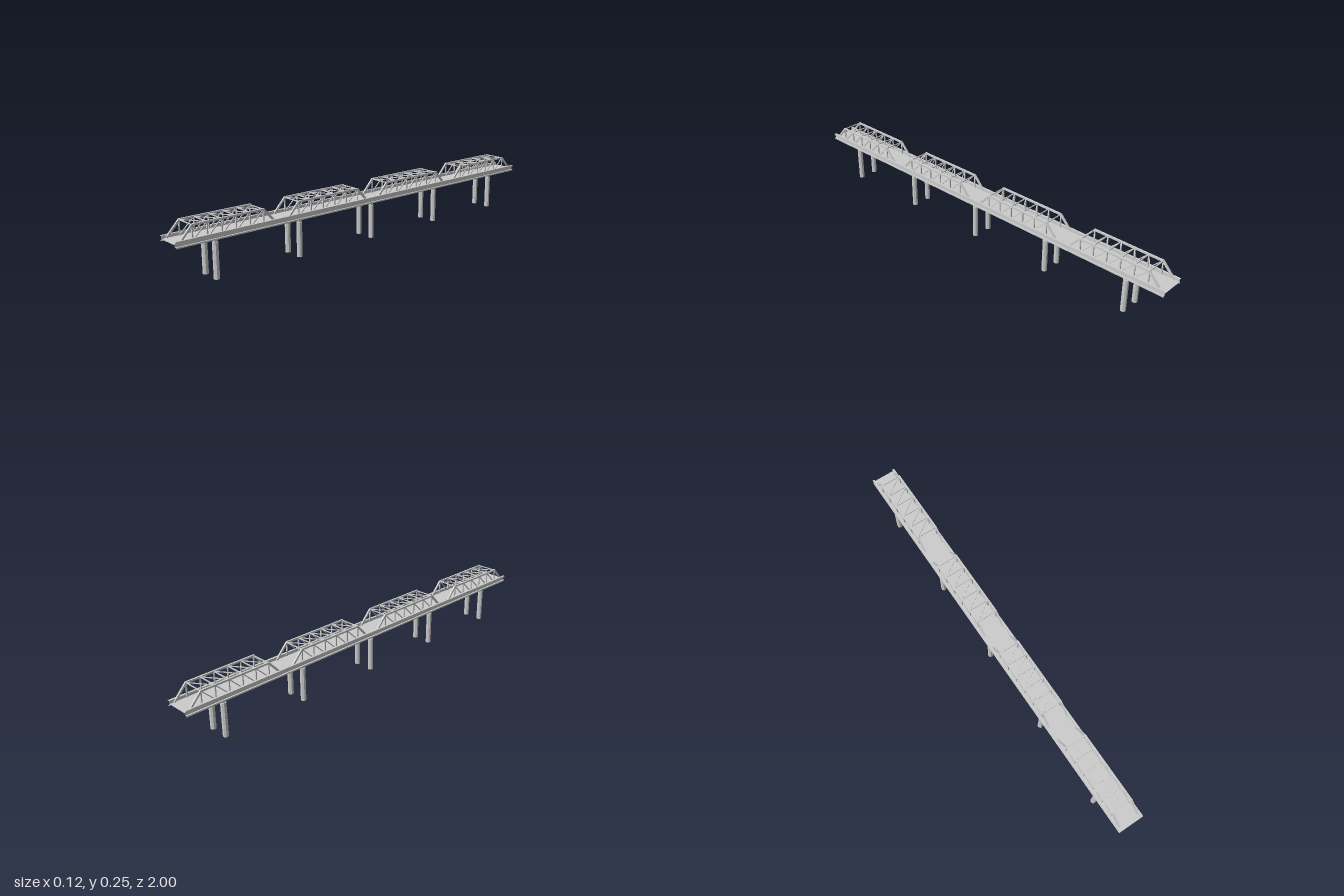
import * as THREE from 'three';

const material = new THREE.MeshStandardMaterial({ color: 0xcccccc, flatShading: true });

const FLOOR = 0.18, CHORD = 0.243, SIDE = 0.048;

function add(parent, name, geometry, x = 0, y = 0, z = 0) {
  const mesh = new THREE.Mesh(geometry, material);
  mesh.name = name;
  mesh.position.set(x, y, z);
  parent.add(mesh);
  return mesh;
}

// Straight square bar between two points
function bar(parent, name, a, b, width) {
  const from = new THREE.Vector3(...a), to = new THREE.Vector3(...b);
  const mesh = add(parent, name, new THREE.BoxGeometry(width, width, from.distanceTo(to)));
  mesh.position.copy(from).add(to).multiplyScalar(0.5);
  mesh.lookAt(to);
  return mesh;
}

// Floor with a channel girder along each edge, swept over the full length, open ends
function deckGeometry() {
  const half = [
    [0.06, 0.165], [0.06, 0.171], [0.053, 0.171], [0.053, 0.186],
    [0.06, 0.186], [0.06, 0.193], [0.05, 0.193], [0.05, FLOOR],
  ];
  const outline = [...half, ...half.map(([x, y]) => [-x, y]).reverse()];
  const shape = new THREE.Shape(outline.map(([x, y]) => new THREE.Vector2(x, y)));
  const solid = new THREE.ExtrudeGeometry(shape, { depth: 2, bevelEnabled: false });
  const sides = solid.groups[1];
  const open = new THREE.BufferGeometry();
  for (const key of ['position', 'normal', 'uv']) {
    const { array, itemSize } = solid.attributes[key];
    const part = array.slice(sides.start * itemSize, (sides.start + sides.count) * itemSize);
    open.setAttribute(key, new THREE.BufferAttribute(part, itemSize));
  }
  return open.translate(0, 0, -1);
}

// One truss span: two side frames tied together by top bracing
function createTruss() {
  const truss = new THREE.Group();
  truss.name = 'trussSpan';
  const top = 0.1635, foot = 0.221, bays = 5;
  const stations = Array.from({ length: bays + 1 }, (_, i) => top - (2 * top * i) / bays);

  for (const x of [-SIDE, SIDE]) {
    const frame = new THREE.Group();
    frame.name = x > 0 ? 'leftFrame' : 'rightFrame';
    truss.add(frame);
    bar(frame, 'topChord', [x, CHORD, top + 0.003], [x, CHORD, -top - 0.003], 0.008);
    for (const s of [-1, 1]) {
      bar(frame, 'endPost', [x, FLOOR + 0.001, s * foot], [x, CHORD, s * top], 0.008);
    }
    stations.forEach((z, i) => {
      bar(frame, 'upright', [x, FLOOR, z], [x, CHORD, z], 0.005);
      if (i < bays) bar(frame, 'diagonal', [x, FLOOR, z], [x, CHORD, stations[i + 1]], 0.004);
    });
  }

  stations.forEach((z, i) => {
    bar(truss, 'crossBar', [-SIDE, CHORD, z], [SIDE, CHORD, z], 0.004);
    if (i < bays) bar(truss, 'topBrace', [-SIDE, CHORD, z], [SIDE, CHORD, stations[i + 1]], 0.0035);
  });
  return truss;
}

export function createModel() {
  const model = new THREE.Group();
  model.name = 'trussBridge';

  add(model, 'deck', deckGeometry());

  // Four spans along the deck
  for (let i = 0; i < 4; i++) {
    const truss = createTruss();
    truss.position.z = (1.5 - i) * 0.505;
    model.add(truss);
  }

  // Five pairs of octagonal piers with bearing blocks
  const column = new THREE.CylinderGeometry(0.0125, 0.0125, 0.153, 8).rotateY(Math.PI / 8);
  const block = new THREE.BoxGeometry(0.014, 0.012, 0.014);
  for (let i = -2; i <= 2; i++) {
    for (const s of [-1, 1]) {
      const pier = new THREE.Group();
      pier.name = 'pier';
      pier.position.set(s * 0.041, 0, i * 0.41);
      add(pier, 'column', column, 0, 0.0765, 0);
      add(pier, 'bearingBlock', block, 0, 0.159, 0);
      model.add(pier);
    }
  }
  return model;
}
